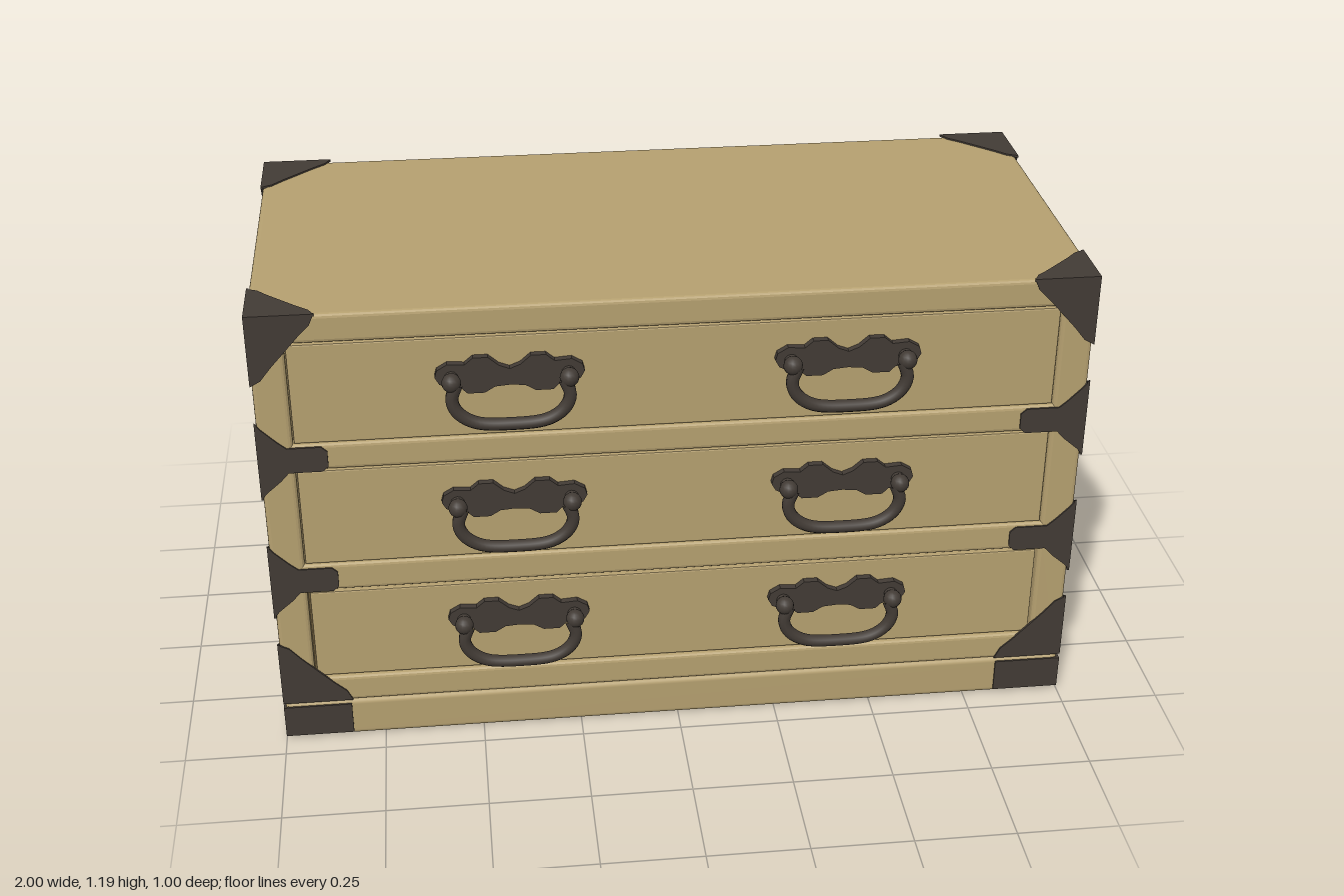
import * as THREE from 'three';
import { RoundedBoxGeometry } from 'three/addons/geometries/RoundedBoxGeometry.js';

const wood = new THREE.MeshStandardMaterial({ color: 0xb5a070 });
wood.name = 'paleWood';
const iron = new THREE.MeshStandardMaterial({ color: 0x423b35 });
iron.name = 'blackIron';
const seam = new THREE.MeshStandardMaterial({ color: 0x655536 });
seam.name = 'shadowGapWood';

const toShape = pts => new THREE.Shape(pts.map(([x, y]) => new THREE.Vector2(x, y)));
const rect = (x0, y0, x1, y1) => [[x0, y0], [x1, y0], [x1, y1], [x0, y1]];

function add(parent, name, geometry, material, x = 0, y = 0, z = 0) {
  const mesh = new THREE.Mesh(geometry, material);
  mesh.name = name;
  mesh.position.set(x, y, z);
  parent.add(mesh);
  return mesh;
}

// Rounded box given by its limits
function block(parent, name, x0, x1, y0, y1, z0, z1) {
  add(parent, name, new RoundedBoxGeometry(x1 - x0, y1 - y0, z1 - z0, 3, 0.014), wood,
    (x0 + x1) / 2, (y0 + y1) / 2, (z0 + z1) / 2);
}

// Thin iron plate; points are (x, y), (z, y) or (x, z) depending on the face
const faces = {
  front: { map: (u, v) => [u, v], rot: [0, 0], pos: [0, 0, 0.434] },
  back: { map: (u, v) => [-u, v], rot: [0, Math.PI], pos: [0, 0, -0.494] },
  left: { map: (u, v) => [-u, v], rot: [0, Math.PI / 2], pos: [0.994, 0, 0] },
  right: { map: (u, v) => [u, v], rot: [0, -Math.PI / 2], pos: [-0.994, 0, 0] },
  top: { map: (u, v) => [u, -v], rot: [-Math.PI / 2, 0], pos: [0, 1.186, 0] },
};
function plate(parent, name, face, pts) {
  const f = faces[face];
  const geo = new THREE.ExtrudeGeometry(toShape(pts.map(p => f.map(p[0], p[1]))),
    { depth: 0.006, bevelEnabled: false });
  const mesh = add(parent, name, geo, iron, ...f.pos);
  mesh.rotation.set(f.rot[0], f.rot[1], 0);
}

// Roughly triangular fitting at a corner, reaching a along u and b along v
const corner = (u, v, a, b) =>
  [[0, 0], [1, 0], [0.92, 0.16], [0.75, 0.31], [0.32, 0.74], [0.16, 0.92], [0, 1]]
    .map(([i, j]) => [u + a * i, v + b * j]);

// Drop handle with scalloped backplate, two studs and a hanging bail
function makeHandle() {
  const g = new THREE.Group();
  g.name = 'drawerHandle';
  const half = [[0, 0.015], [0.025, 0.025], [0.05, 0.047], [0.085, 0.047], [0.105, 0.03],
    [0.145, 0.033], [0.17, 0.018], [0.175, 0], [0.165, -0.018], [0.14, -0.03],
    [0.115, -0.03], [0.1, -0.045], [0.06, -0.045], [0.035, -0.03], [0, -0.027]];
  const outline = half.concat(half.slice(1, -1).reverse().map(([x, y]) => [-x, y]));
  add(g, 'handleBackplate', new THREE.ExtrudeGeometry(toShape(outline),
    { depth: 0.018, bevelEnabled: false }), iron);

  for (const s of [-1, 1]) {
    const post = new THREE.CylinderGeometry(0.013, 0.018, 0.04, 12).rotateX(Math.PI / 2);
    add(g, 'handlePost', post, iron, s * 0.137, -0.002, 0.03);
    add(g, 'handleStud', new THREE.SphereGeometry(0.023, 14, 10), iron, s * 0.137, -0.002, 0.043);
  }
  const half2 = [[0.125, -0.004], [0.138, -0.045], [0.125, -0.08], [0.085, -0.108]];
  const path = [...half2, [0, -0.116], ...half2.slice().reverse().map(([x, y]) => [-x, y])]
    .map(([x, y]) => new THREE.Vector3(x, y, 0.045));
  add(g, 'handleBail', new THREE.TubeGeometry(new THREE.CatmullRomCurve3(path), 40, 0.0155, 10), iron);
  return g;
}

export function createModel() {
  const model = new THREE.Group();
  model.name = 'drawerChest';

  // Base plinth and main case
  block(model, 'basePlinth', -0.996, 0.996, 0, 0.107, -0.496, 0.436);
  block(model, 'caseBody', -0.996, 0.996, 0.107, 1.188, -0.496, 0.4);

  // Front frame with softened openings
  const drawers = [[0.18, 0.44], [0.515, 0.78], [0.85, 1.115]];
  const frame = toShape(rect(-0.996, 0.107, 0.996, 1.188));
  for (const [y0, y1] of drawers) {
    frame.holes.push(new THREE.Path(toShape(rect(-0.915, y0, 0.915, y1)).getPoints()));
  }
  const bevel = 0.01;
  add(model, 'frontFrame', new THREE.ExtrudeGeometry(frame, {
    depth: 0.052, bevelThickness: bevel, bevelSize: bevel, bevelOffset: -bevel, bevelSegments: 3,
  }), wood, 0, 0, 0.374);

  // Drawer fronts and their handles
  drawers.forEach(([y0, y1], i) => {
    const gap = i === 0 ? 0.006 : 0.003;
    const panel = toShape(rect(-0.915 + gap, y0 + gap, 0.915 - gap, y1 - gap));
    add(model, 'drawerFront', new THREE.ExtrudeGeometry(panel, {
      depth: 0.035, bevelThickness: 0.004, bevelSize: 0.004, bevelOffset: -0.004, bevelSegments: 2,
    }), wood, 0, 0, 0.395);
    if (i === 0) {
      add(model, 'drawerGap', new THREE.BoxGeometry(1.85, y1 - y0 + 0.02, 0.008), seam,
        0, (y0 + y1) / 2, 0.402);
    }
    for (const s of [-1, 1]) {
      const handle = makeHandle();
      handle.position.set(s * 0.4, 0.342 + i * 0.338, 0.433);
      model.add(handle);
    }
  });

  // Iron fittings, mirrored left and right
  const fittings = new THREE.Group();
  fittings.name = 'ironFittings';
  model.add(fittings);
  const clasp = [[1, 0.103], [0.985, 0.085], [0.95, 0.05], [0.93, 0.033], [0.85, 0.033], [0.836, 0.02],
    [0.836, -0.02], [0.85, -0.033], [0.93, -0.033], [0.95, -0.055], [0.985, -0.085], [1, -0.103]];
  const sideClasp = [[0.44, 0.103], [0.405, 0.085], [0.372, 0.05], [0.372, -0.04],
    [0.385, -0.07], [0.42, -0.098], [0.44, -0.103]];

  for (const s of [-1, 1]) {
    const side = s > 0 ? 'left' : 'right';
    // Case corners
    plate(fittings, 'frontTopCorner', 'front', corner(s, 1.192, -s * 0.16, -0.18));
    plate(fittings, 'frontBottomCorner', 'front', corner(s, 0.11, -s * 0.175, 0.18));
    plate(fittings, 'backTopCorner', 'back', corner(s, 1.192, -s * 0.17, -0.175));
    plate(fittings, 'backBottomCorner', 'back', corner(s, 0.11, -s * 0.17, 0.17));
    plate(fittings, 'topFrontCorner', 'top', corner(s, 0.44, -s * 0.16, -0.152));
    plate(fittings, 'topBackCorner', 'top', corner(s, -0.5, -s * 0.175, 0.175));
    plate(fittings, 'sideTopFrontCorner', side, corner(0.44, 1.192, -0.153, -0.175));
    plate(fittings, 'sideTopBackCorner', side, corner(-0.5, 1.192, 0.172, -0.175));
    plate(fittings, 'sideBottomFrontCorner', side, corner(0.44, 0.11, -0.185, 0.18));
    plate(fittings, 'sideBottomBackCorner', side, corner(-0.5, 0.11, 0.175, 0.175));
    // Edge clasps between the drawers
    for (const y of [0.473, 0.811]) {
      plate(fittings, 'frontClasp', 'front', clasp.map(([u, v]) => [s * u, y + v]));
      plate(fittings, 'sideClasp', side, sideClasp.map(([u, v]) => [u, y + v]));
    }
    // Base corners
    plate(fittings, 'baseFrontPlate', 'front', rect(s * 0.83, 0.01, s, 0.097));
    plate(fittings, 'baseBackPlate', 'back', rect(s * 0.83, 0.01, s, 0.097));
    plate(fittings, 'baseSideFrontPlate', side, rect(0.258, 0.01, 0.44, 0.097));
    plate(fittings, 'baseSideBackPlate', side, rect(-0.5, 0.01, -0.315, 0.097));
  }
  return model;
}
